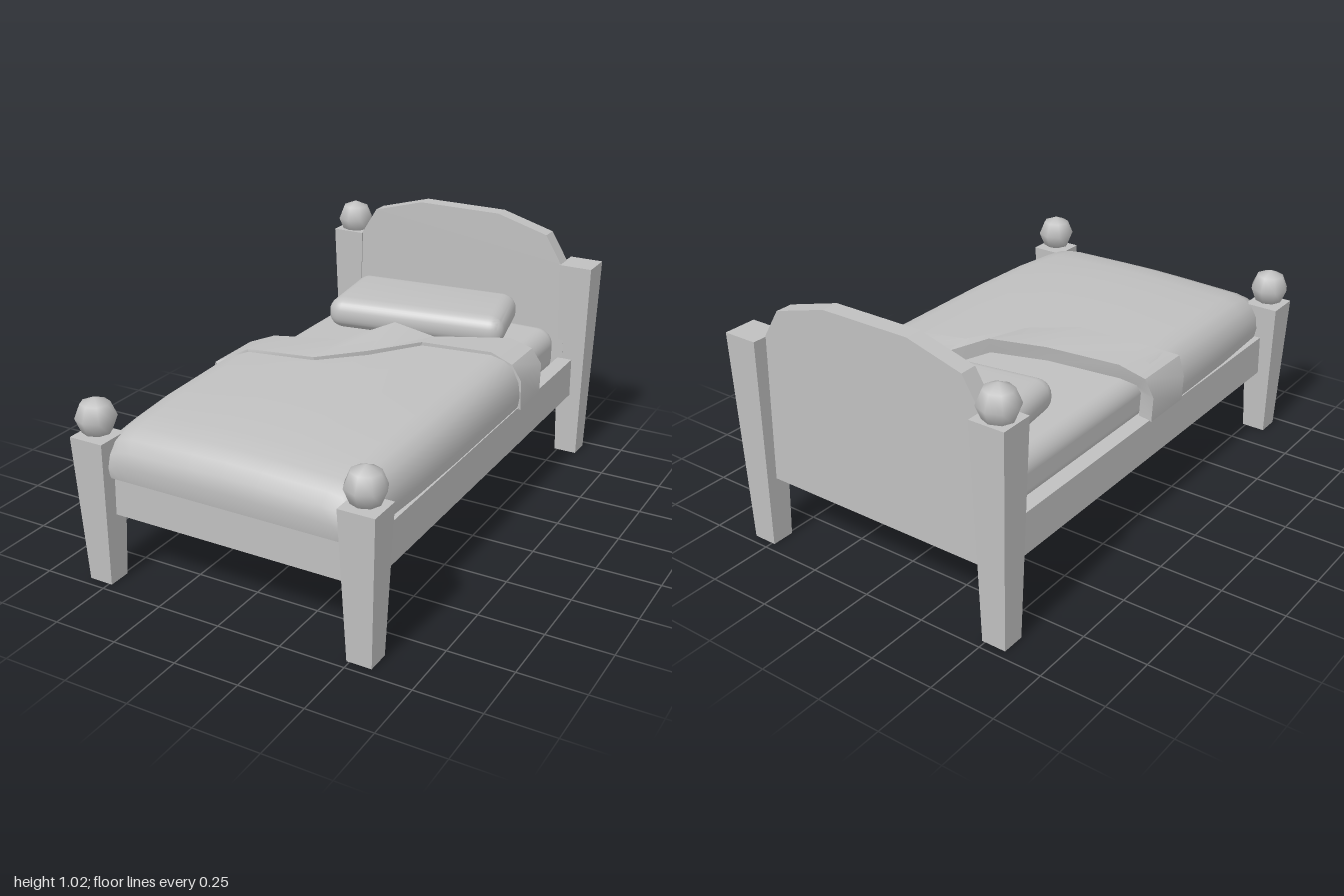
import * as THREE from 'three';
import { toCreasedNormals } from 'three/addons/utils/BufferGeometryUtils.js';
import { RoundedBoxGeometry } from 'three/addons/geometries/RoundedBoxGeometry.js';

const grey = new THREE.MeshStandardMaterial({ color: 0xc0c0c0, side: THREE.DoubleSide });
grey.name = 'plain grey';

function add(parent, name, geometry, x = 0, y = 0, z = 0) {
  const mesh = new THREE.Mesh(geometry, grey);
  mesh.name = name;
  mesh.position.set(x, y, z);
  parent.add(mesh);
  return mesh;
}

// Joins rows of points into a surface; closed wraps each row into a loop and caps the ends
function loft(rows, closed, crease) {
  const n = rows[0].length, index = [];
  for (let i = 0; i < rows.length - 1; i++) {
    for (let j = 0; j < (closed ? n : n - 1); j++) {
      const k = (j + 1) % n;
      const a = i * n + j, b = a + n, c = (i + 1) * n + k, d = i * n + k;
      index.push(a, b, c, a, c, d);
    }
  }
  if (closed) {
    const e = (rows.length - 1) * n;
    for (let j = 1; j < n - 1; j++) index.push(0, j, j + 1, e, e + j + 1, e + j);
  }
  const g = new THREE.BufferGeometry();
  g.setAttribute('position', new THREE.Float32BufferAttribute(rows.flat(2), 3));
  g.setIndex(index);
  g.computeVertexNormals();
  return toCreasedNormals(g, crease);
}

// Linear interpolation through [x, value] stations
function along(stations, x) {
  if (x <= stations[0][0]) return stations[0][1];
  for (let i = 1; i < stations.length; i++) {
    const [x0, v0] = stations[i - 1], [x1, v1] = stations[i];
    if (x <= x1) return v0 + (v1 - v0) * (x - x0) / (x1 - x0);
  }
  return stations[stations.length - 1][1];
}

// Tapered square post, open underneath, with an optional round finial
function post(parent, name, x, z, height, hasBall) {
  const group = new THREE.Group();
  group.name = name;
  group.position.set(x, 0, z);
  const r = Math.SQRT1_2;
  const leg = new THREE.CylinderGeometry(r, r * 0.69, height, 4, 1, true).rotateY(Math.PI / 4);
  leg.scale(0.138, 1, 0.132);
  add(group, 'leg', toCreasedNormals(leg, 0.3), 0, height / 2, 0);
  add(group, 'legTop', new THREE.PlaneGeometry(0.138, 0.132).rotateX(-Math.PI / 2), 0, height, 0);
  if (hasBall) {
    const ball = add(group, 'ball', new THREE.SphereGeometry(0.077, 8, 4), 0, height + 0.067 - 0.02 * (height > 0.7), 0);
    ball.scale.z = 0.95;
  }
  parent.add(group);
}

export function createModel() {
  const bed = new THREE.Group();
  bed.name = 'bed';

  // Posts: the back one at +x has no ball
  for (const s of [-1, 1]) {
    post(bed, 'frontPost', s * 0.536, 0.919, 0.572, true);
    post(bed, 'backPost', s * 0.536, -0.922, 0.845, s < 0);
    add(bed, 'sideRail', new THREE.BoxGeometry(0.062, 0.163, 1.78), s * 0.511, 0.3515, 0.02);
  }

  // Frame
  add(bed, 'footRail', new THREE.BoxGeometry(1.0, 0.163, 0.06), 0, 0.3515, 0.89);
  add(bed, 'basePanel', new THREE.BoxGeometry(1.08, 0.1, 1.82), 0, 0.3205, -0.0);

  // Headboard with a faceted arch
  const arch = new THREE.Shape([
    [-0.5, 0.27], [0.5, 0.27], [0.5, 0.82], [0.47, 0.845], [0.4, 0.96], [0.18, 1.022],
    [-0.18, 1.022], [-0.4, 0.96], [-0.47, 0.845], [-0.5, 0.82],
  ].map(([x, y]) => new THREE.Vector2(x, y)));
  add(bed, 'headboard', new THREE.ExtrudeGeometry(arch, { depth: 0.068, bevelEnabled: false }), 0, 0, -0.932);

  // Mattress
  add(bed, 'mattress', new RoundedBoxGeometry(0.95, 0.2, 1.74, 4, 0.07), 0, 0.475, 0.012);

  // Pillow: a rounded box skewed to four corners [x, z]
  const pillow = new RoundedBoxGeometry(0.72, 0.13, 0.4, 4, 0.06);
  const corners = [[-0.415, -0.765], [0.3, -0.835], [0.385, -0.475], [-0.365, -0.36]];
  const p = pillow.attributes.position;
  for (let i = 0; i < p.count; i++) {
    const u = p.getX(i) / 0.72 + 0.5, v = p.getZ(i) / 0.4 + 0.5;
    const mix = (k) => (corners[0][k] * (1 - u) + corners[1][k] * u) * (1 - v)
      + (corners[3][k] * (1 - u) + corners[2][k] * u) * v;
    p.setXYZ(i, mix(0), p.getY(i) + 0.64, mix(1));
  }
  add(bed, 'pillow', toCreasedNormals(pillow, 1.0));

  // Blanket: one cross-section swept to the foot, with a slanted back edge
  const half = [[0.535, 0.42], [0.546, 0.48], [0.54, 0.54], [0.515, 0.59], [0.475, 0.62], [0.42, 0.633], [0.15, 0.642]];
  const section = [...half.map(([x, y]) => [-x, y]), [0, 0.645], ...half.slice().reverse()];
  const backEdge = [[-0.54, 0.08], [-0.42, 0.05], [-0.14, 0], [0.01, -0.15], [0.15, -0.29], [0.42, -0.39], [0.54, -0.39]];
  // [z, width scale, height scale]
  const rows = [[null, 1, 1], [0.25, 1, 1], [0.55, 0.99, 0.97], [0.75, 0.97, 0.91], [0.85, 0.96, 0.85],
    [0.91, 0.94, 0.74], [0.94, 0.92, 0.55], [0.952, 0.905, 0.3], [0.94, 0.89, 0]];
  add(bed, 'blanket', loft(rows.map(([z, sx, sy]) => section.map(([x, y]) =>
    [x * sx, 0.425 + (y - 0.425) * sy, z ?? along(backEdge, x)])), false, 1.2));

  // Folded-back blanket edge, draped over both sides:
  // [x, front y, back y, front z, back z, inward x, inward y]
  const fold = [
    [-0.55, 0.43, 0.43, 0.2, -0.02, 1, 0],
    [-0.555, 0.53, 0.53, 0.2, -0.02, 1, 0],
    [-0.52, 0.6, 0.6, 0.22, -0.025, 0.7, -0.7],
    [-0.42, 0.645, 0.638, 0.14, -0.047, 0, -1],
    [-0.14, 0.655, 0.655, 0.11, -0.11, 0, -1],
    [0.015, 0.662, 0.705, -0.03, -0.26, 0, -1],
    [0.15, 0.656, 0.645, -0.23, -0.335, 0, -1],
    [0.42, 0.645, 0.638, -0.29, -0.485, 0, -1],
    [0.51, 0.61, 0.61, -0.29, -0.49, -0.7, -0.7],
    [0.55, 0.55, 0.55, -0.29, -0.495, -1, 0],
    [0.55, 0.425, 0.425, -0.3, -0.49, -1, 0],
  ];
  add(bed, 'blanketFold', loft(fold.map(([x, yf, yb, zf, zb, nx, ny]) => [
    [x + nx * 0.03, yf + ny * 0.03, zf],
    [x, yf, zf],
    [x, yb, zb],
    [x + nx * 0.06, yb + ny * 0.06, zb + 0.01],
  ]), true, 0.6));

  return bed;
}
